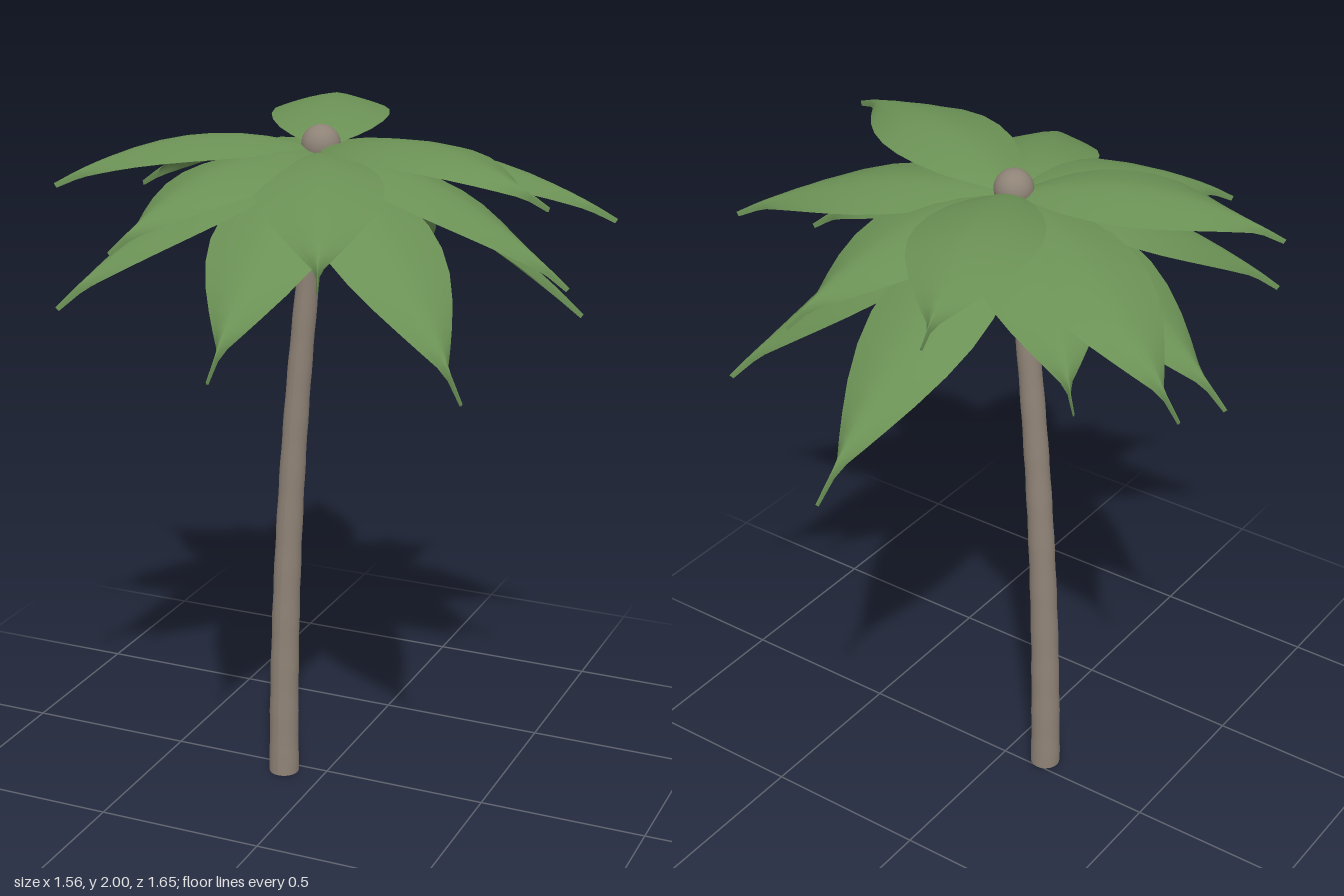
import * as THREE from 'three';

const leafGreen = new THREE.MeshStandardMaterial({ name: 'leafGreen', color: 0x6b9155, side: THREE.DoubleSide });
const barkBrown = new THREE.MeshStandardMaterial({ name: 'barkBrown', color: 0x8f8377 });

const CROWN = new THREE.Vector3(0, 1.93, 0.04);

// Tip of every frond: x, y, z
const TIPS = [
  [0.01, 1.395, -0.83], [-0.27, 1.905, -0.74], [0.28, 1.72, -0.60], [0.615, 1.395, -0.465],
  [0.778, 1.75, -0.21], [0.73, 1.615, 0.06], [0.757, 1.895, 0.34], [0.63, 1.44, 0.60],
  [0.31, 1.735, 0.77], [0.03, 1.485, 0.825], [-0.32, 1.75, 0.68], [-0.53, 1.56, 0.60],
  [-0.655, 1.84, 0.37], [-0.715, 1.52, -0.01], [-0.78, 1.69, -0.37], [-0.55, 1.69, -0.49],
];

// Frond stations: position along the rib, half width, sideways droop of the edge
const STATIONS = [
  [0, 0.012, 0.004], [0.05, 0.045, 0.01], [0.12, 0.092, 0.018], [0.2, 0.13, 0.026],
  [0.3, 0.158, 0.033], [0.4, 0.17, 0.037], [0.5, 0.167, 0.037], [0.6, 0.147, 0.035],
  [0.7, 0.112, 0.032], [0.78, 0.075, 0.029], [0.84, 0.044, 0.026], [0.89, 0.016, 0.023],
  [0.93, 0.004, 0.02], [1, 0.002, 0.014],
];

// Broad arched blade lofted along a drooping rib, ending in a folded spike
function frondGeometry(tip) {
  const end = new THREE.Vector3(...tip);
  const start = CROWN.clone();
  start.y = 1.9 + (end.y - 1.4) * 0.06;
  const control = start.clone().lerp(end, 0.5);
  control.y += 0.165;
  const rib = new THREE.QuadraticBezierCurve3(start, control, end);
  const out = end.clone().sub(start).setY(0).normalize();
  const across = new THREE.Vector3(out.z, 0, -out.x);

  const columns = 8, positions = [], index = [];
  STATIONS.forEach(([t, halfWidth, droop], row) => {
    const centre = rib.getPoint(t);
    const tangent = rib.getTangent(t);
    const up = new THREE.Vector3().crossVectors(tangent, across).normalize();
    if (up.y < 0) up.negate();
    for (let c = 0; c <= columns; c++) {
      const u = (c / columns) * 2 - 1;
      const p = centre.clone()
        .addScaledVector(across, u * halfWidth)
        .addScaledVector(up, -droop * Math.abs(u) ** 1.5);
      positions.push(p.x, p.y, p.z);
      if (row > 0 && c > 0) {
        const d = row * (columns + 1) + c, b = d - columns - 1;
        index.push(b - 1, b, d - 1, b, d, d - 1);
      }
    }
  });
  const geometry = new THREE.BufferGeometry();
  geometry.setAttribute('position', new THREE.Float32BufferAttribute(positions, 3));
  geometry.setIndex(index);
  geometry.computeVertexNormals();
  return geometry;
}

// Tapered cylinder bent sideways, with faint growth rings
function trunkGeometry() {
  const height = 1.92;
  const geometry = new THREE.CylinderGeometry(0.03, 0.045, height, 20, 48);
  geometry.translate(0, height / 2, 0);
  const pos = geometry.attributes.position;
  for (let i = 0; i < pos.count; i++) {
    const y = pos.getY(i);
    const ring = 1 + 0.02 * Math.sin(y * 40);
    pos.setX(i, pos.getX(i) * ring - 0.125 + 0.035 * y * y);
    pos.setZ(i, pos.getZ(i) * ring + CROWN.z);
  }
  geometry.computeVertexNormals();
  return geometry;
}

export function createModel() {
  const tree = new THREE.Group();
  tree.name = 'palmTree';
  const add = (parent, name, geometry, material) => {
    const mesh = new THREE.Mesh(geometry, material);
    mesh.name = name;
    parent.add(mesh);
    return mesh;
  };

  add(tree, 'trunk', trunkGeometry(), barkBrown);

  // Bud on top of the crown
  add(tree, 'crownBud', new THREE.SphereGeometry(0.055, 24, 16), barkBrown)
    .position.set(CROWN.x, 1.94, CROWN.z);

  // Small nuts tucked under the fronds
  const nuts = new THREE.Group();
  nuts.name = 'nuts';
  tree.add(nuts);
  for (let i = 0; i < 4; i++) {
    const a = (i + 0.5) * Math.PI / 2;
    add(nuts, 'nut', new THREE.SphereGeometry(0.022, 12, 8), barkBrown)
      .position.set(Math.cos(a) * 0.045, 1.87, CROWN.z + Math.sin(a) * 0.045);
  }

  const fronds = new THREE.Group();
  fronds.name = 'fronds';
  tree.add(fronds);
  for (const tip of TIPS) add(fronds, 'frond', frondGeometry(tip), leafGreen);

  return tree;
}
